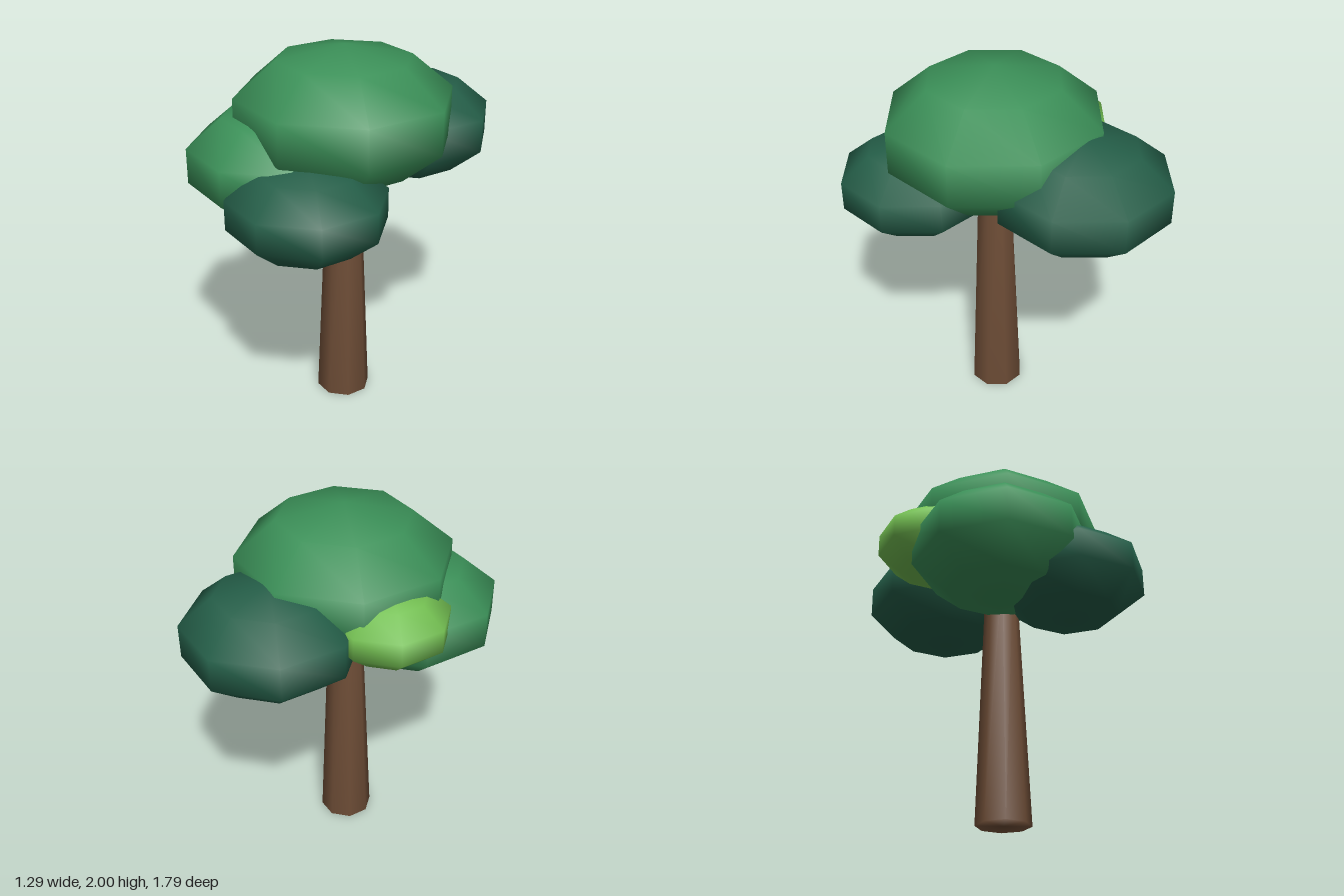
import * as THREE from 'three';
import { mergeVertices } from 'three/addons/utils/BufferGeometryUtils.js';

const material = (name, color) => {
  const m = new THREE.MeshStandardMaterial({ color });
  m.name = name;
  return m;
};

// Weld the corners so shading runs smoothly over the coarse shape
function smooth(geometry) {
  geometry.deleteAttribute('uv');
  geometry.deleteAttribute('normal');
  const welded = mergeVertices(geometry);
  welded.computeVertexNormals();
  return welded;
}

export function createModel() {
  const tree = new THREE.Group();
  tree.name = 'tree';

  const bark = material('bark brown', 0x6f4e37);
  const leaf = material('leaf green', 0x3b9058);
  const shade = material('deep green', 0x255f49);
  const fresh = material('fresh green', 0x74c052);

  const add = (name, geometry, mat, x, y, z) => {
    const mesh = new THREE.Mesh(smooth(geometry), mat);
    mesh.name = name;
    mesh.position.set(x, y, z);
    tree.add(mesh);
  };

  // Tapered eight-sided trunk, its top hidden inside the crown
  add('trunk', new THREE.CylinderGeometry(0.088, 0.147, 1.4, 8), bark, 0.078, 0.7, 0.065);

  // Flattened leaf clumps: name, colour, centre, radius, half height
  const clumps = [
    ['crownClump', leaf, [0.078, 1.638, 0.06], 0.596, 0.362],
    ['rightFrontClump', leaf, [-0.177, 1.402, 0.28], 0.497, 0.3],
    ['leftFrontClump', shade, [0.147, 1.285, 0.487], 0.426, 0.25],
    ['backClump', shade, [0.163, 1.467, -0.443], 0.475, 0.284],
    ['rightBackClump', fresh, [-0.302, 1.52, -0.092], 0.326, 0.197],
  ];
  for (const [name, mat, centre, radius, half] of clumps) {
    const ball = new THREE.SphereGeometry(radius, 8, 5).scale(1, half / radius, 1);
    add(name, ball, mat, ...centre);
  }
  return tree;
}
